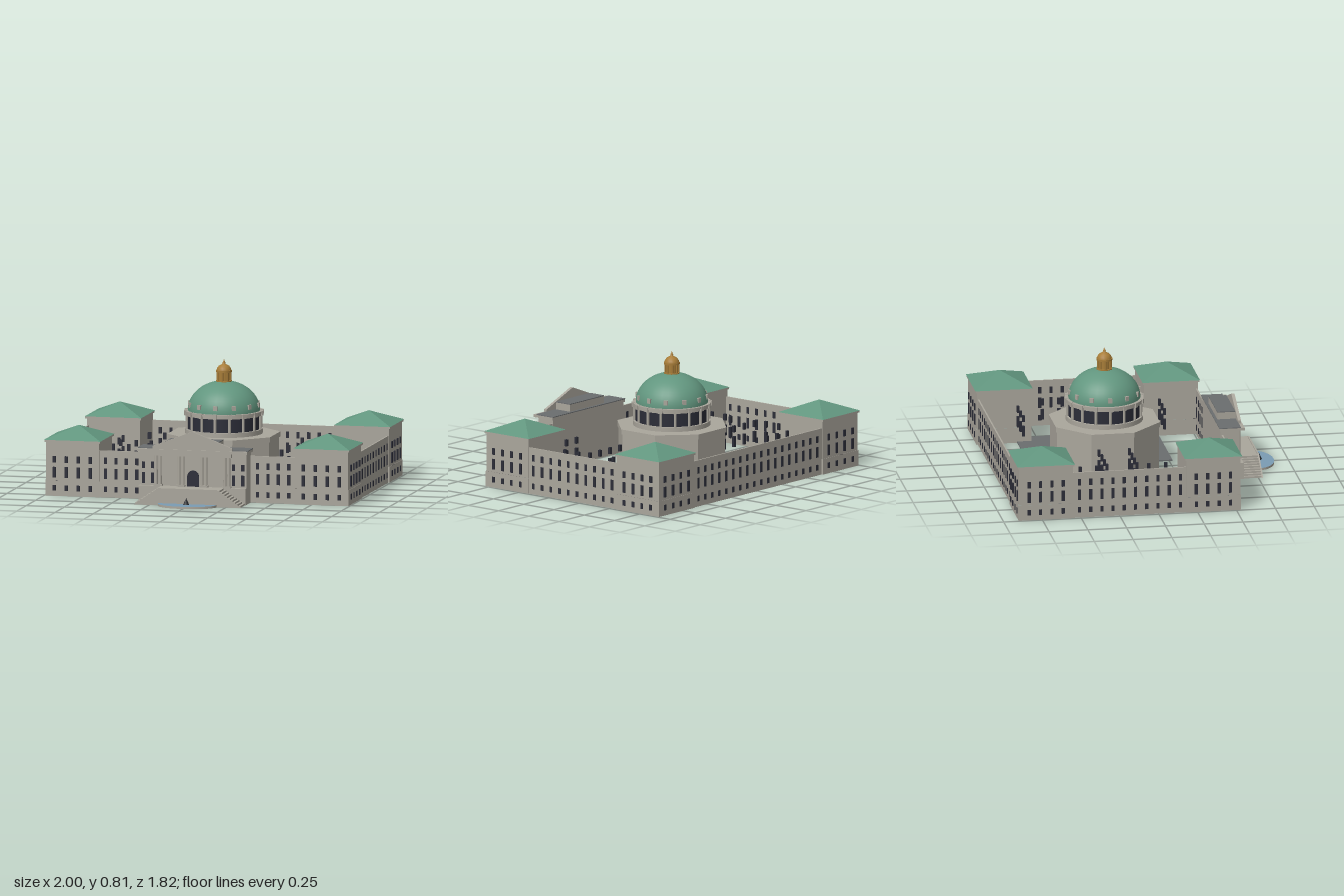
import * as THREE from 'three';

const mat = (name, color, extra = {}) => new THREE.MeshStandardMaterial({ name, color, ...extra });

export function createModel() {
  const stone = mat('stone', 0xaaa69c, { side: THREE.DoubleSide });
  const copper = mat('green copper', 0x62967f);
  const slate = mat('dark slate', 0x6a6d6f);
  const glass = mat('dark glass', 0x2b2d38);
  const gold = mat('gold', 0xa87d38);
  const water = mat('water', 0x7a9cb3);
  const bronze = mat('dark bronze', 0x26282c);

  const model = new THREE.Group();
  model.name = 'domedBuilding';
  const group = (name) => {
    const g = new THREE.Group();
    g.name = name;
    model.add(g);
    return g;
  };
  const add = (parent, name, geo, material, x = 0, y = 0, z = 0) => {
    const m = new THREE.Mesh(geo, material);
    m.name = name;
    m.position.set(x, y, z);
    parent.add(m);
    return m;
  };
  // box given by its extents
  const block = (parent, name, material, x0, x1, y0, y1, z0, z1) =>
    add(parent, name, new THREE.BoxGeometry(x1 - x0, y1 - y0, z1 - z0), material,
      (x0 + x1) / 2, (y0 + y1) / 2, (z0 + z1) / 2);
  // flat-sided prism or pyramid with sides square to the axes
  const prism = (n, topA, bottomA, h, open) => {
    const k = 1 / Math.cos(Math.PI / n);
    const g = new THREE.CylinderGeometry(topA * k, bottomA * k, h, n, 1, open).rotateY(Math.PI / n).toNonIndexed();
    g.computeVertexNormals();
    return g;
  };

  // window columns: three rows of panes, [centre height, pane height]
  const rows = [[0.052, 0.036], [0.152, 0.068], [0.235, 0.042]];
  const panes = rows.map(([, h]) => new THREE.BoxGeometry(0.02, h, 0.016));
  const windows = (parent, n, x0, z0, x1, z1, first = 0) => {
    const turn = Math.abs(z1 - z0) > Math.abs(x1 - x0);
    for (let i = 0; i < n; i++) {
      const t = n > 1 ? i / (n - 1) : 0.5;
      for (let r = first; r < rows.length; r++) {
        const w = add(parent, 'window', panes[r], glass, x0 + (x1 - x0) * t, rows[r][0], z0 + (z1 - z0) * t);
        if (turn) w.rotation.y = Math.PI / 2;
      }
    }
  };

  // outer walls around the courtyard
  const walls = group('outerWalls');
  block(walls, 'frontWall', stone, -0.64, 0.64, 0, 0.3, 0.511, 0.521);
  block(walls, 'backWall', stone, -0.64, 0.64, 0, 0.3, -0.893, -0.883);
  windows(walls, 18, -0.59, -0.888, 0.59, -0.888);
  for (const s of [-1, 1]) {
    block(walls, 'sideWall', stone, s * 0.98 - 0.005, s * 0.98 + 0.005, 0, 0.3, -0.55, 0.18);
    windows(walls, 10, s * 0.98, -0.51, s * 0.98, 0.14);
    windows(walls, 4, s * 0.6, 0.516, s * 0.395, 0.516);
  }

  // corner pavilions
  for (const sx of [-1, 1]) {
    for (const [cz, sz] of [[0.352, 1], [-0.725, -1]]) {
      const p = group('cornerPavilion');
      const cx = sx * 0.815;
      add(p, 'pavilionWalls', prism(4, 0.174, 0.174, 0.25, true), stone, cx, 0.225, cz);
      add(p, 'pavilionBase', prism(4, 0.177, 0.177, 0.1, true), stone, cx, 0.05, cz);
      block(p, 'eaves', stone, cx - 0.182, cx + 0.182, 0.345, 0.358, cz - 0.182, cz + 0.182);
      add(p, 'pavilionRoof', prism(4, 0, 0.185, 0.077, false), copper, cx, 0.3965, cz);
      windows(p, 4, cx - 0.118, cz + sz * 0.173, cx + 0.118, cz + sz * 0.173);
      windows(p, 4, cx + sx * 0.173, cz - 0.11, cx + sx * 0.173, cz + 0.11);
    }
  }

  // low courtyard roofs with free-standing window rows
  const yard = group('courtyardWings');
  for (const s of [-1, 1]) {
    for (const [z0, z1] of [[-0.64, -0.285], [-0.09, 0.27]]) {
      block(yard, 'wingRoof', slate, Math.min(s * 0.1, s * 0.73), Math.max(s * 0.1, s * 0.73), 0, 0.008, z0, z1);
      for (const z of [z0, z1]) windows(yard, 4, s * 0.4, z, s * 0.7, z, 1);
      windows(yard, 3, s * 0.73, z0 + 0.07, s * 0.73, z1 - 0.07, 1);
    }
  }

  // central octagon, drum, dome and lantern share one axis
  const tower = group('rotunda');
  tower.position.z = -0.185;
  add(tower, 'octagonWalls', prism(8, 0.328, 0.328, 0.31, true), stone, 0, 0.155, 0);
  add(tower, 'octagonRoof', prism(8, 0.335, 0.335, 0.033, false), stone, 0, 0.322, 0);
  const ring = (name, r, y0, y1, material, n = 48) =>
    add(tower, name, new THREE.CylinderGeometry(r, r, y1 - y0, n), material, 0, (y0 + y1) / 2, 0);
  ring('drumBase', 0.247, 0.338, 0.368, stone);
  ring('drumGlazing', 0.232, 0.368, 0.456, glass);
  ring('drumCornice', 0.245, 0.456, 0.472, stone);
  ring('domeLedge', 0.25, 0.472, 0.484, stone);
  const around = (n, r, fn) => {
    for (let i = 0; i < n; i++) {
      const a = (i / n) * Math.PI * 2;
      fn(Math.sin(a) * r, Math.cos(a) * r, a);
    }
  };
  const post = new THREE.CylinderGeometry(0.009, 0.009, 0.09, 8);
  const cap = new THREE.BoxGeometry(0.024, 0.03, 0.02);
  around(16, 0.238, (x, z, a) => {
    add(tower, 'drumColumn', post, stone, x, 0.411, z);
    add(tower, 'corniceBlock', cap, stone, x * 1.03, 0.471, z * 1.03).rotation.y = a;
  });
  const dome = add(tower, 'dome', new THREE.SphereGeometry(0.23, 32, 14, 0, Math.PI * 2, 0, Math.PI / 2), copper, 0, 0.484, 0);
  dome.scale.y = 0.82;
  const dormer = new THREE.BoxGeometry(0.026, 0.03, 0.02);
  around(12, 0.222, (x, z, a) => {
    add(tower, 'dormer', dormer, stone, x, 0.523, z).rotation.y = a;
  });
  ring('lanternBase', 0.05, 0.658, 0.674, gold, 20);
  ring('lanternCore', 0.038, 0.674, 0.73, gold, 20);
  ring('lanternCornice', 0.051, 0.728, 0.74, gold, 20);
  const thinPost = new THREE.CylinderGeometry(0.006, 0.006, 0.06, 6);
  around(8, 0.042, (x, z) => add(tower, 'lanternColumn', thinPost, gold, x, 0.701, z));
  const lanternTop = [[0.047, 0.74], [0.044, 0.753], [0.034, 0.767], [0.016, 0.777], [0.008, 0.782],
    [0.01, 0.789], [0.005, 0.797], [0, 0.812]].map(([x, y]) => new THREE.Vector2(x, y));
  add(tower, 'lanternDome', new THREE.LatheGeometry(lanternTop, 20), gold);

  // entrance block
  const porch = group('entrance');
  block(porch, 'entranceBody', stone, -0.35, 0.35, 0, 0.325, 0.505, 0.625);
  block(porch, 'entranceBase', stone, -0.35, 0.35, 0, 0.105, 0.62, 0.655);
  block(porch, 'entablature', stone, -0.255, 0.255, 0.3, 0.325, 0.62, 0.657);
  block(porch, 'cornice', stone, -0.36, 0.36, 0.325, 0.342, 0.5, 0.66);
  block(porch, 'entranceRoof', slate, -0.36, 0.36, 0.342, 0.347, 0.497, 0.635);
  block(porch, 'attic', stone, -0.17, 0.17, 0.347, 0.392, 0.515, 0.63);
  block(porch, 'atticRoof', slate, -0.17, 0.17, 0.392, 0.397, 0.515, 0.63);
  const gable = new THREE.Shape([[-0.26, 0.34], [0.26, 0.34], [0.26, 0.36], [0, 0.46], [-0.26, 0.36]]
    .map(([x, y]) => new THREE.Vector2(x, y)));
  add(porch, 'pediment', new THREE.ExtrudeGeometry(gable, { depth: 0.02, bevelEnabled: false }), stone, 0, 0, 0.633);
  const column = new THREE.CylinderGeometry(0.01, 0.011, 0.195, 12);
  for (const x of [-0.225, -0.075, 0.075, 0.225]) {
    block(porch, 'columnPlinth', stone, x - 0.027, x + 0.027, 0.105, 0.117, 0.628, 0.656);
    for (const d of [-0.013, 0.013]) add(porch, 'column', column, stone, x + d, 0.2025, 0.643);
  }
  for (const s of [-1, 1]) windows(porch, 2, s * 0.325, 0.62, s * 0.265, 0.62, 1);
  const arch = new THREE.Shape();
  arch.moveTo(-0.038, 0.105).lineTo(0.038, 0.105).lineTo(0.038, 0.17);
  arch.absarc(0, 0.17, 0.038, 0, Math.PI, false);
  add(porch, 'archedDoor', new THREE.ExtrudeGeometry(arch, { depth: 0.006, bevelEnabled: false }), glass, 0, 0, 0.624);

  // terrace with steps rising from both sides
  const n = 9, profile = [];
  for (let i = 0; i < n; i++) {
    const x = 0.345 - (i * 0.155) / n;
    profile.push([x, (0.105 * i) / n], [x, (0.105 * (i + 1)) / n]);
  }
  const outline = [...profile, ...profile.map(([x, y]) => [-x, y]).reverse()].map(([x, y]) => new THREE.Vector2(x, y));
  add(porch, 'terraceSteps', new THREE.ExtrudeGeometry(new THREE.Shape(outline), { depth: 0.116, bevelEnabled: false }),
    stone, 0, 0, 0.655);
  const cheek = new THREE.Shape([[-0.35, 0], [0.35, 0], [0.19, 0.11], [-0.19, 0.11]].map(([x, y]) => new THREE.Vector2(x, y)));
  add(porch, 'terraceFront', new THREE.ExtrudeGeometry(cheek, { depth: 0.01, bevelEnabled: false }), stone, 0, 0, 0.77);

  // half-oval fountain with a small figure
  const fountain = group('fountain');
  const basin = add(fountain, 'basin', new THREE.CylinderGeometry(0.19, 0.19, 0.014, 40, 1, false, -Math.PI / 2, Math.PI),
    [stone, water, water], 0, 0.007, 0.78);
  basin.scale.z = 0.125 / 0.19;
  add(fountain, 'figure', new THREE.ConeGeometry(0.02, 0.044, 8), bronze, 0, 0.036, 0.81);

  return model;
}
